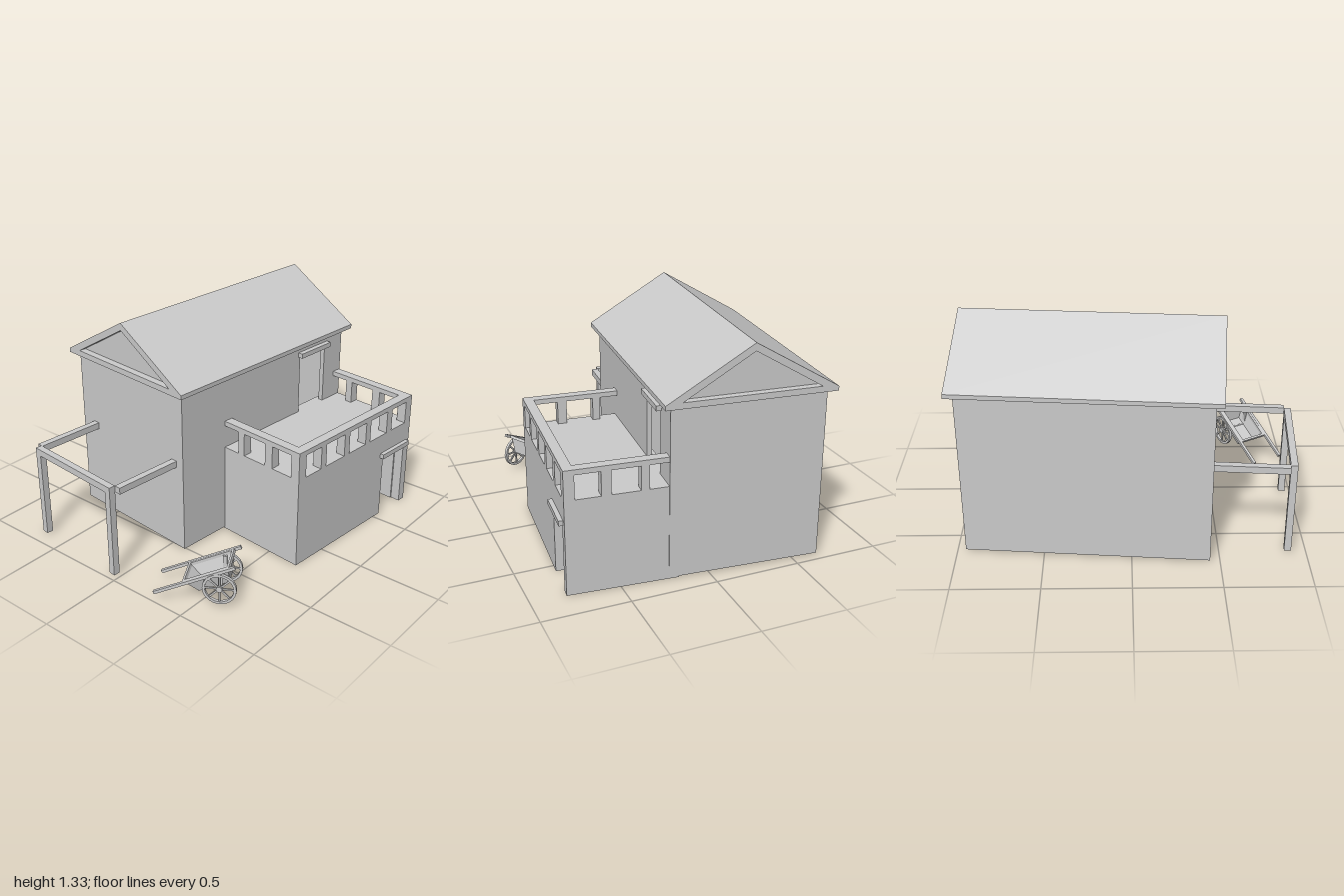
import * as THREE from 'three';

const mat = new THREE.MeshStandardMaterial({ color: 0xcccccc, flatShading: true, side: THREE.DoubleSide });

function add(parent, name, geometry, x = 0, y = 0, z = 0) {
  const mesh = new THREE.Mesh(geometry, mat);
  mesh.name = name;
  mesh.position.set(x, y, z);
  parent.add(mesh);
  return mesh;
}

// Box given by its limits on each axis
function block(parent, name, [x0, x1], [y0, y1], [z0, z1]) {
  return add(parent, name, new THREE.BoxGeometry(x1 - x0, y1 - y0, z1 - z0),
    (x0 + x1) / 2, (y0 + y1) / 2, (z0 + z1) / 2);
}

const outline = (points) => points.map(([x, y]) => new THREE.Vector2(x, y));

// Extruded outline with holes
function panel(points, holes, depth) {
  const shape = new THREE.Shape(outline(points));
  for (const hole of holes) shape.holes.push(new THREE.Path(outline(hole)));
  return new THREE.ExtrudeGeometry(shape, { depth, bevelEnabled: false });
}

const rect = (x0, x1, y0, y1) => [[x0, y0], [x1, y0], [x1, y1], [x0, y1]];

function createHouse() {
  const g = new THREE.Group();
  g.name = 'house';
  const hx = 0.7, hz = 0.4415, bottom = 0.01, top = 1.02, h = top - bottom;

  // Thin walls, open underneath; the front has the terrace doorway
  const midY = (bottom + top) / 2;
  add(g, 'backWall', new THREE.PlaneGeometry(2 * hx, h), 0, midY, -hz).rotation.y = Math.PI;
  for (const s of [-1, 1]) {
    add(g, 'sideWall', new THREE.PlaneGeometry(2 * hz, h), s * hx, midY, 0).rotation.y = s * Math.PI / 2;
  }
  add(g, 'frontWall', panel(rect(-hx, hx, bottom, top), [rect(0.3, 0.535, 0.56, 0.935)], 0.03), 0, 0, hz - 0.03);
  block(g, 'terraceDoorLintel', [0.284, 0.555], [0.935, 0.965], [0.42, 0.472]);

  // Gabled roof shell with recessed gable triangles
  const inner = [[-0.39, 1.045], [0.39, 1.045], [0, 1.28]];
  const outer = [[-0.4845, 1.01], [0.4845, 1.01], [0.4845, 1.036], [0, 1.325], [-0.4845, 1.036]];
  add(g, 'roof', panel(outer, [inner], 1.486), -0.743, 0, 0).rotation.y = Math.PI / 2;
  add(g, 'gables', panel(inner, [], 2 * hx), -hx, 0, 0).rotation.y = Math.PI / 2;
  return g;
}

function createAnnex() {
  const g = new THREE.Group();
  g.name = 'annex';
  const left = -0.36, right = 0.695, front = 1.012, back = 0.383, t = 0.058, top = 0.73;
  const sill = 0.56, head = 0.7;

  // Front wall with a doorway notch and five parapet openings
  const frontWindows = [[-0.3, -0.168], [-0.123, 0.042], [0.088, 0.243], [0.288, 0.449], [0.499, 0.638]];
  const face = [[left, 0], [0.434, 0], [0.434, 0.405], [0.645, 0.405], [0.645, 0], [right, 0], [right, top], [left, top]];
  add(g, 'annexFrontWall', panel(face, frontWindows.map(([a, b]) => rect(a, b, sill, head)), t), 0, 0, front - t);
  block(g, 'doorLintel', [0.404, 0.665], [0.405, 0.435], [front - 0.02, front + 0.025]);

  // Side walls with three openings, running a little way into the house
  const sideWindows = [[0.43, 0.551], [0.596, 0.757], [0.812, 0.953]];
  for (const x of [left, right - t]) {
    const wall = panel(rect(-(front - t), -back, 0, top), sideWindows.map(([a, b]) => rect(-Math.min(b, 0.9535), -a, sill, head)), t);
    add(g, 'annexSideWall', wall, x, 0, 0).rotation.y = Math.PI / 2;
  }
  block(g, 'terraceFloor', [left + t, right - t], [0.53, 0.56], [back, front - t]);
  return g;
}

function createPergola() {
  const g = new THREE.Group();
  g.name = 'pergola';
  for (const z of [-0.324, 0.369]) block(g, 'pergolaBeam', [-1.122, -0.685], [0.54, 0.58], [z - 0.02, z + 0.02]);
  block(g, 'pergolaCrossBeam', [-1.162, -1.122], [0.54, 0.58], [-0.315, 0.349]);
  for (const z of [-0.295, 0.329]) block(g, 'pergolaPost', [-1.162, -1.122], [0.01, 0.54], [z - 0.02, z + 0.02]);
  return g;
}

function createWheel() {
  const g = new THREE.Group();
  g.name = 'wheel';
  // Rim with a flat square section
  const rim = new THREE.LatheGeometry(
    outline([[0.08, -0.009], [0.095, -0.009], [0.095, 0.009], [0.08, 0.009], [0.08, -0.009]]), 20);
  add(g, 'wheelRim', rim).rotation.z = Math.PI / 2;
  add(g, 'wheelHub', new THREE.CylinderGeometry(0.018, 0.018, 0.026, 10)).rotation.z = Math.PI / 2;
  for (let i = 0; i < 4; i++) {
    add(g, 'wheelSpokes', new THREE.BoxGeometry(0.008, 0.168, 0.01)).rotation.x = i * Math.PI / 4;
  }
  return g;
}

function createCart() {
  const g = new THREE.Group();
  g.name = 'handcart';
  for (const s of [-1, 1]) {
    const wheel = createWheel();
    wheel.position.set(s * 0.103, 0.122, 0);
    g.add(wheel);
    block(g, 'axleStrut', [s * 0.075 - 0.007, s * 0.075 + 0.007], [0.115, 0.215], [-0.012, 0.012]);
  }
  add(g, 'axle', new THREE.CylinderGeometry(0.008, 0.008, 0.23, 8), 0, 0.122, 0).rotation.z = Math.PI / 2;

  // Tray and handles tip back until the grips rest near the ground
  const body = new THREE.Group();
  body.name = 'cartBody';
  body.position.y = 0.225;
  body.rotation.x = -0.445;
  g.add(body);
  for (const s of [-1, 1]) {
    block(body, 'handle', [s * 0.1 - 0.009, s * 0.1 + 0.009], [-0.009, 0.009], [-0.405, 0.094]);
    block(body, 'trayRimSide', [s * 0.085 - 0.007, s * 0.085 + 0.007], [-0.01, 0.008], [-0.225, 0.055]);
  }
  for (const z of [-0.22, 0.05]) block(body, 'trayRimEnd', [-0.1, 0.1], [-0.01, 0.008], [z - 0.007, z + 0.007]);

  // Open tapered tray
  const tray = new THREE.CylinderGeometry(Math.SQRT1_2, 0.5, 0.09, 4, 1, true);
  tray.rotateY(Math.PI / 4).scale(0.175, 1, 0.27);
  add(body, 'tray', tray, 0, -0.045, -0.085);
  block(body, 'trayFloor', [-0.062, 0.062], [-0.094, -0.088], [-0.18, 0.01]);
  return g;
}

export function createModel() {
  const model = new THREE.Group();
  model.name = 'cottage';

  // Buildings share one slightly turned frame
  const buildings = new THREE.Group();
  buildings.name = 'buildings';
  buildings.position.set(0.216, 0, -0.27);
  buildings.rotation.y = -THREE.MathUtils.degToRad(5);
  buildings.add(createHouse(), createAnnex(), createPergola());

  const cart = createCart();
  cart.position.set(-0.72, 0, 0.565);
  cart.rotation.y = 0.509;

  model.add(buildings, cart);
  return model;
}
